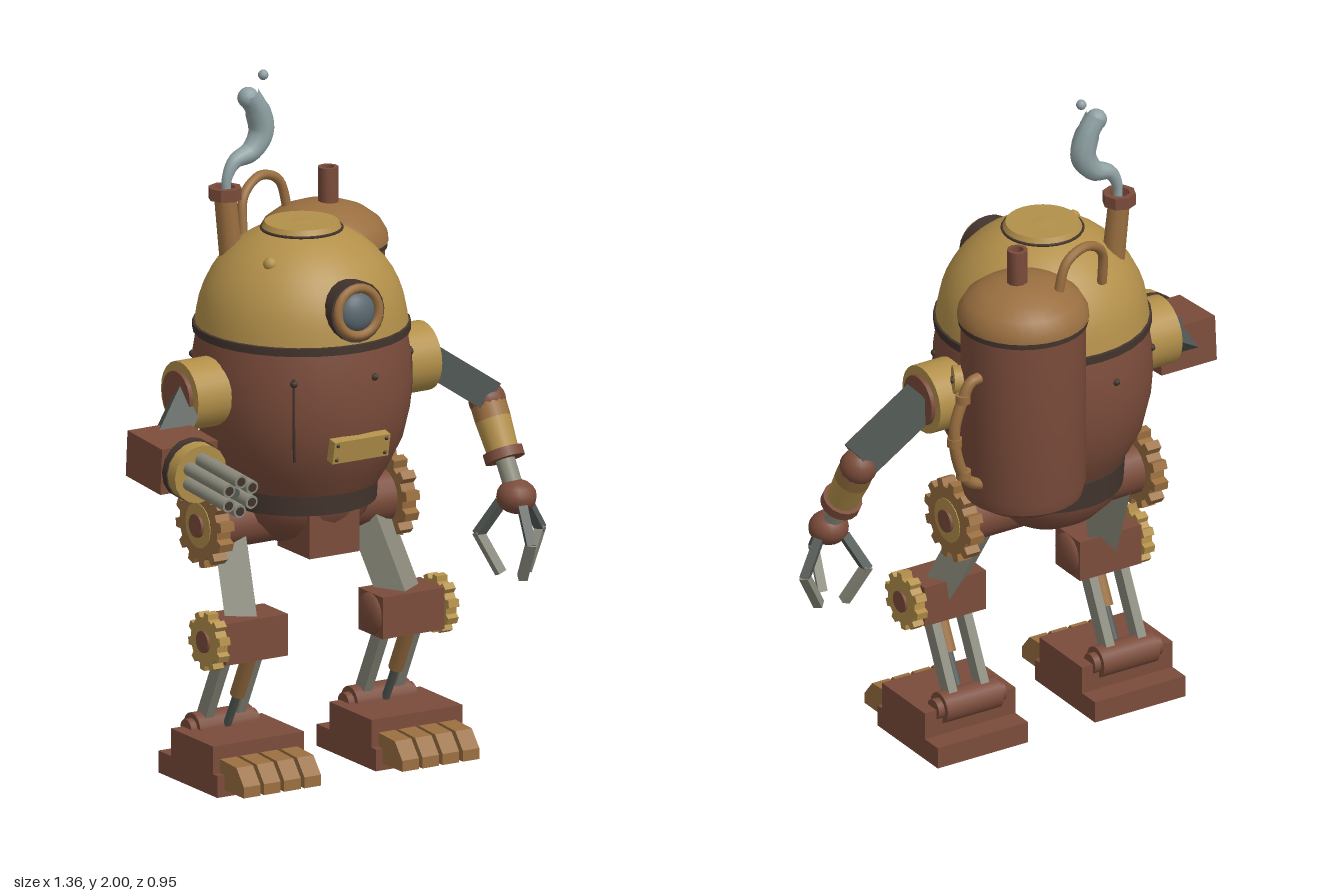
import * as THREE from 'three';
import { toCreasedNormals } from 'three/addons/utils/BufferGeometryUtils.js';

const V = (x, y, z) => new THREE.Vector3(x, y, z);
const material = (name, color) => {
  const m = new THREE.MeshStandardMaterial({ color });
  m.name = name;
  return m;
};

export function createModel() {
  const brown = material('rust brown', 0x7b4c3b);
  const dark = material('dark iron', 0x43342e);
  const gold = material('brass', 0xb3904a);
  const copper = material('copper', 0x9a6f40);
  const steel = material('pale steel', 0x8a897b);
  const iron = material('grey iron', 0x535a56);
  const smokeGrey = material('smoke', 0x8fa1a3);
  const glass = material('glass', 0x5a6870);

  const model = new THREE.Group();
  model.name = 'steamRobot';
  const CX = -0.062, CZ = -0.07; // body axis

  const group = (name, parent = model) => {
    const g = new THREE.Group();
    g.name = name;
    parent.add(g);
    return g;
  };
  const add = (parent, name, geo, mat, x = 0, y = 0, z = 0) => {
    const m = new THREE.Mesh(geo, mat);
    m.name = name;
    m.position.set(x, y, z);
    parent.add(m);
    return m;
  };
  const aim = (m, dir) => m.quaternion.setFromUnitVectors(V(0, 1, 0), dir.clone().normalize());
  // round rod and square beam between two points
  const rod = (p, name, a, b, r, mat, r2 = r, sides = 16) => {
    const m = add(p, name, new THREE.CylinderGeometry(r2, r, a.distanceTo(b), sides), mat);
    m.position.lerpVectors(a, b, 0.5);
    aim(m, b.clone().sub(a));
    return m;
  };
  const beam = (p, name, a, b, w, d, mat) => {
    const m = add(p, name, new THREE.BoxGeometry(w, a.distanceTo(b), d), mat);
    m.position.lerpVectors(a, b, 0.5);
    aim(m, b.clone().sub(a));
    return m;
  };
  const lathe = (p, name, pts, mat, x, y, z, seg = 32) => add(p, name, toCreasedNormals(
    new THREE.LatheGeometry(pts.map(q => new THREE.Vector2(...q)), seg), 0.7), mat, x, y, z);
  const pipe = (p, name, pts, r, mat) => add(p, name,
    new THREE.TubeGeometry(new THREE.CatmullRomCurve3(pts), 28, r, 10), mat);
  // cog centred on the x axis
  const gear = (p, name, r, teeth, width, mat, x, y, z) => {
    const s = new THREE.Shape();
    for (let i = 0; i < teeth; i++) {
      [[0, 0.82], [0.4, 0.82], [0.5, 1], [0.9, 1]].forEach(([f, k], j) => {
        const a = (i + f) / teeth * Math.PI * 2;
        s[i + j ? 'lineTo' : 'moveTo'](Math.cos(a) * r * k, Math.sin(a) * r * k);
      });
    }
    s.closePath();
    const g = new THREE.ExtrudeGeometry(s, { depth: width, bevelEnabled: false });
    g.translate(0, 0, -width / 2).rotateY(Math.PI / 2);
    return add(p, name, g, mat, x, y, z);
  };

  // ---- body shell
  const body = group('body');
  lathe(body, 'belly', [[0, 0.83], [0.22, 0.83], [0.25, 0.88], [0.285, 0.95], [0.306, 1.04],
    [0.312, 1.12], [0.308, 1.2], [0.298, 1.265], [0, 1.265]], brown, CX, 0, CZ);
  const domePts = [[0.303, 1.285]];
  for (let i = 1; i <= 12; i++) {
    const a = i / 12 * Math.PI / 2;
    domePts.push([0.3 * Math.cos(a), 1.285 + 0.295 * Math.sin(a)]);
  }
  lathe(body, 'dome', domePts, gold, CX, 0, CZ);
  lathe(body, 'domeSeam', [[0.29, 1.262], [0.309, 1.265], [0.309, 1.288], [0.29, 1.292]], dark, CX, 0, CZ);
  add(body, 'domeHatchRing', new THREE.TorusGeometry(0.115, 0.004, 6, 32), dark, CX, 1.56, CZ).rotation.x = Math.PI / 2;
  add(body, 'domeHatch', new THREE.CylinderGeometry(0.105, 0.115, 0.02, 32), gold, CX, 1.568, CZ);
  add(body, 'domeKnob', new THREE.SphereGeometry(0.021, 12, 8), gold, -0.23, 1.5, 0.033);
  lathe(body, 'waist', [[0.2, 0.765], [0.22, 0.77], [0.225, 0.85], [0, 0.85]], dark, CX, 0, -0.085);
  lathe(body, 'pelvis', [[0, 0.65], [0.09, 0.655], [0.15, 0.69], [0.195, 0.735], [0.205, 0.77], [0, 0.77]], brown, CX, 0, -0.09);
  beam(body, 'pelvisBlock', V(CX, 0.64, 0.02), V(CX, 0.77, 0.02), 0.165, 0.17, brown);
  rod(body, 'hipAxle', V(-0.345, 0.73, -0.09), V(0.222, 0.73, -0.09), 0.077, brown);

  // belly seams and rivets
  const onBelly = (deg, y, r) => V(CX + r * Math.sin(deg * Math.PI / 180), y, CZ + r * Math.cos(deg * Math.PI / 180));
  for (const deg of [-36, 66]) {
    pipe(body, 'seam', [onBelly(deg, 1.2, 0.308), onBelly(deg, 1.12, 0.312), onBelly(deg, 1.04, 0.306), onBelly(deg, 0.95, 0.285)], 0.004, dark);
  }
  for (const deg of [-80, -36, 10, 66, 190, 235]) {
    add(body, 'rivet', new THREE.SphereGeometry(0.011, 8, 6), dark, ...onBelly(deg, 1.185, 0.308));
  }

  // front plate with corner screws
  const plate = group('frontPlate', body);
  plate.position.set(CX, 0.988, 0.235);
  plate.rotation.x = 0.2;
  add(plate, 'plate', new THREE.BoxGeometry(0.185, 0.067, 0.03), gold);
  for (const x of [-0.08, 0.08]) for (const y of [-0.022, 0.022]) {
    add(plate, 'screw', new THREE.SphereGeometry(0.006, 6, 4), dark, x, y, 0.015);
  }

  // porthole eye
  const eye = group('eye', body);
  eye.position.set(CX, 1.38, 0.205);
  eye.rotation.x = -0.1;
  const disc = (name, r, z0, z1, mat, r2 = r) => rod(eye, name, V(0, 0, z0), V(0, 0, z1), r, mat, r2, 20);
  disc('eyeHousing', 0.088, -0.05, 0.025, dark);
  add(eye, 'eyeRing', new THREE.TorusGeometry(0.068, 0.014, 8, 24), copper, 0, 0, 0.028);
  add(eye, 'eyeLens', new THREE.SphereGeometry(0.058, 20, 12), glass, 0, 0, 0.015).scale.z = 0.6;

  // ---- smoke stack
  const stack = group('smokeStack');
  rod(stack, 'stackPipe', V(-0.222, 1.47, -0.19), V(-0.24, 1.65, -0.193), 0.034, copper, 0.032, 10);
  lathe(stack, 'stackRim', [[0.025, 1.635], [0.048, 1.64], [0.048, 1.675], [0.03, 1.675], [0.028, 1.645], [0, 1.645]], brown, -0.24, 0, -0.193, 8);
  const smokeCurve = new THREE.CatmullRomCurve3([[-0.238, 1.65], [-0.235, 1.7], [-0.21, 1.745], [-0.155, 1.768],
    [-0.122, 1.82], [-0.135, 1.885], [-0.165, 1.935]].map(([x, y]) => V(x, y, -0.19)));
  const smokeGeo = new THREE.TubeGeometry(smokeCurve, 30, 1, 10);
  const sp = smokeGeo.attributes.position;
  for (let i = 0; i < sp.count; i++) { // widen the plume towards its top
    const t = Math.floor(i / 11) / 30, c = smokeCurve.getPointAt(t);
    const p = V(0, 0, 0).fromBufferAttribute(sp, i).sub(c).multiplyScalar(0.013 + 0.025 * Math.sin(Math.min(t * 1.15, 1) * 1.9) ** 2 * (t < 0.85 ? 1 : 0.88));
    sp.setXYZ(i, c.x + p.x, c.y + p.y, c.z + p.z);
  }
  add(stack, 'smokePlume', smokeGeo, smokeGrey);
  add(stack, 'smokeTip', new THREE.SphereGeometry(0.031, 12, 8), smokeGrey, -0.165, 1.925, -0.19);
  add(stack, 'smokePuff', new THREE.SphereGeometry(0.015, 10, 8), smokeGrey, -0.115, 1.985, -0.19);

  // ---- boiler tank on the back
  const tank = group('boilerTank');
  const TX = 0.148, TZ = -0.297;
  lathe(tank, 'tankShell', [[0, 0.855], [0.13, 0.86], [0.168, 0.885], [0.177, 0.92], [0.177, 1.43], [0, 1.43]], brown, TX, 0, TZ);
  lathe(tank, 'tankSeam', [[0.17, 1.415], [0.184, 1.42], [0.184, 1.437], [0.17, 1.44]], dark, TX, 0, TZ);
  lathe(tank, 'tankLid', [[0.17, 1.43], [0.187, 1.437], [0.185, 1.46], [0.165, 1.495], [0.125, 1.525], [0.07, 1.545], [0, 1.552]], copper, TX, 0, TZ);
  lathe(tank, 'tankVent', [[0.03, 1.53], [0.03, 1.65], [0.018, 1.65], [0.018, 1.6], [0, 1.6]], brown, 0.166, 0, -0.295, 10);
  pipe(tank, 'steamPipe', [V(-0.105, 1.48, -0.315), V(-0.09, 1.59, -0.335), V(-0.02, 1.635, -0.36), V(0.05, 1.61, -0.373), V(0.085, 1.5, -0.375)], 0.014, copper);
  pipe(tank, 'sidePipe', [V(0.29, 1.3, -0.333), V(0.345, 1.295, -0.333), V(0.375, 1.24, -0.333), V(0.4, 1.16, -0.333),
    V(0.39, 1.06, -0.333), V(0.355, 0.985, -0.333), V(0.29, 0.955, -0.333)], 0.017, copper);
  for (const [x, y] of [[0.372, 1.25], [0.4, 1.12], [0.37, 1.01]]) {
    add(tank, 'pipeBand', new THREE.CylinderGeometry(0.022, 0.022, 0.025, 10), copper, x, y, -0.333);
  }
  const gaugeDir = V(0.91, 0, 0.41), gaugeAt = V(0.31, 1.245, -0.22);
  const gaugePoint = d => gaugeAt.clone().addScaledVector(gaugeDir, d);
  rod(tank, 'gauge', gaugePoint(-0.03), gaugePoint(0.02), 0.041, gold);
  rod(tank, 'gaugeHub', gaugePoint(0.02), gaugePoint(0.026), 0.01, dark, 0.01, 8);

  // ---- shoulders
  for (const s of [-1, 1]) {
    const g = group(s > 0 ? 'leftShoulder' : 'rightShoulder');
    const at = d => V(CX + s * d, 1.125, -0.07);
    rod(g, 'shoulderDrum', at(0.26), at(0.405), 0.1, gold, 0.1, 24);
    rod(g, 'shoulderCap', at(0.4), at(0.418), 0.074, brown, 0.074, 20);
  }

  // ---- right arm with rotating barrels
  const gunArm = group('rightArm');
  beam(gunArm, 'upperArm', V(-0.43, 1.125, -0.07), V(-0.6, 1.0, 0.05), 0.085, 0.085, iron);
  const gun = group('barrelGun', gunArm);
  gun.position.set(-0.593, 1.0, 0.09);
  gun.rotation.x = 0.07;
  const gunRod = (name, x, y, z0, z1, r, mat) => rod(gun, name, V(x, y, z0), V(x, y, z1), r, mat);
  add(gun, 'gunBox', new THREE.BoxGeometry(0.185, 0.135, 0.185), brown);
  gunRod('gunFlange', 0, 0, 0.09, 0.115, 0.09, dark);
  gunRod('gunCollar', 0, 0, 0.115, 0.155, 0.086, gold);
  for (let i = 0; i < 6; i++) {
    const a = i * Math.PI / 3 + Math.PI / 6, x = 0.044 * Math.cos(a), y = 0.044 * Math.sin(a);
    gunRod('barrel', x, y, 0.15, 0.368, 0.02, steel);
    gunRod('barrelBore', x, y, 0.36, 0.37, 0.013, dark);
  }
  gunRod('barrelCore', 0, 0, 0.15, 0.34, 0.015, iron);

  // ---- left arm with claw
  const clawArm = group('leftArm');
  const elbow = V(0.548, 0.965, -0.06), hand = V(0.558, 0.715, 0.08);
  const fore = t => elbow.clone().lerp(hand, t);
  beam(clawArm, 'upperArm', V(0.34, 1.125, -0.07), V(0.545, 0.985, -0.06), 0.09, 0.08, iron);
  add(clawArm, 'elbow', new THREE.SphereGeometry(0.054, 16, 12), brown, ...elbow);
  rod(clawArm, 'forearmTop', fore(0), fore(0.2), 0.052, copper);
  rod(clawArm, 'forearm', fore(0.18), fore(0.54), 0.052, gold, 0.046);
  rod(clawArm, 'forearmCuff', fore(0.52), fore(0.62), 0.058, brown);
  rod(clawArm, 'wrist', fore(0.6), fore(0.95), 0.028, steel);
  add(clawArm, 'palm', new THREE.SphereGeometry(0.058, 16, 10), brown, ...hand).scale.y = 0.85;
  for (const deg of [100, 225, -20]) {
    const dx = Math.cos(deg * Math.PI / 180), dz = Math.sin(deg * Math.PI / 180);
    const at = (r, y) => V(hand.x + dx * r, y, hand.z + dz * r);
    beam(clawArm, 'fingerBase', at(0.045, 0.695), at(0.112, 0.595), 0.026, 0.026, iron);
    beam(clawArm, 'fingerTip', at(0.112, 0.605), at(0.045, 0.488), 0.026, 0.026, steel);
  }

  // ---- legs
  const toeShape = new THREE.Shape([[0.12, 0.02], [0.25, 0.02], [0.25, 0.052], [0.21, 0.1], [0.12, 0.105]]
    .map(([z, y]) => new THREE.Vector2(-z, y)));
  const toeGeo = new THREE.ExtrudeGeometry(toeShape, { depth: 0.055, bevelEnabled: false });
  toeGeo.translate(0, 0, -0.0275).rotateY(Math.PI / 2);
  for (const s of [-1, 1]) {
    const leg = group(s > 0 ? 'leftLeg' : 'rightLeg');
    const P = (d, y, z) => V(CX + s * d, y, z); // d: distance out from the body axis
    gear(leg, 'hipGear', 0.122, 12, 0.045, copper, ...P(0.308, 0.73, -0.09));
    rod(leg, 'hipRing', P(0.3, 0.73, -0.09), P(0.333, 0.73, -0.09), 0.066, gold);
    rod(leg, 'hipBolt', P(0.3, 0.73, -0.09), P(0.342, 0.73, -0.09), 0.034, brown);
    beam(leg, 'thigh', P(0.225, 0.72, -0.1), P(0.265, 0.45, 0.04), 0.09, 0.09, steel);
    add(leg, 'kneeBox', new THREE.BoxGeometry(0.205, 0.122, 0.13), brown, ...P(0.26, 0.432, 0.045));
    gear(leg, 'kneeGear', 0.086, 10, 0.035, gold, ...P(0.38, 0.432, 0.048));
    rod(leg, 'kneeBolt', P(0.38, 0.432, 0.048), P(0.405, 0.432, 0.048), 0.032, brown);
    add(leg, 'kneeCap', new THREE.SphereGeometry(0.062, 16, 10), brown, ...P(0.162, 0.432, 0.045)).scale.x = 0.4;
    for (const d of [0.21, 0.316]) {
      beam(leg, 'shinRod', P(d, 0.4, 0.035), P(d, 0.15, -0.09), 0.028, 0.045, steel);
    }
    rod(leg, 'piston', P(0.263, 0.39, 0.08), P(0.263, 0.25, 0.01), 0.022, copper);
    rod(leg, 'pistonRod', P(0.263, 0.26, 0.015), P(0.263, 0.14, -0.05), 0.012, iron);
    rod(leg, 'ankle', P(0.168, 0.14, -0.085), P(0.355, 0.14, -0.085), 0.046, brown);
    rod(leg, 'anklePin', P(0.148, 0.14, -0.085), P(0.375, 0.14, -0.085), 0.03, brown);
    add(leg, 'foot', new THREE.BoxGeometry(0.302, 0.145, 0.225), brown, ...P(0.263, 0.0725, 0.01));
    add(leg, 'footSole', new THREE.BoxGeometry(0.302, 0.064, 0.315), brown, ...P(0.263, 0.032, -0.012));
    for (let i = 0; i < 4; i++) {
      add(leg, 'toe', toeGeo, copper, ...P(0.263 + (i - 1.5) * 0.067, 0, 0));
    }
  }
  return model;
}
